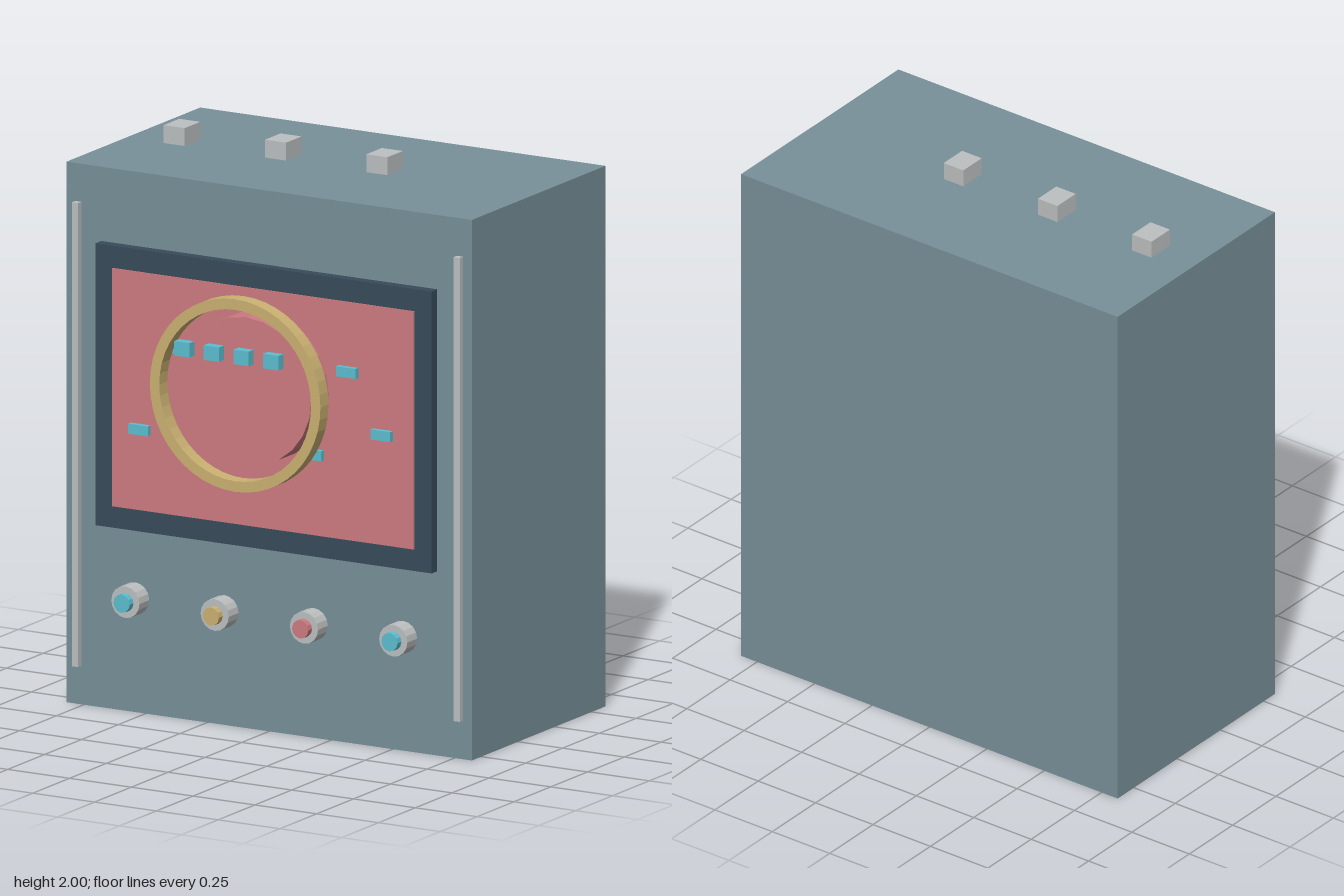
import * as THREE from 'three';

const mat = (name, color) => {
  const m = new THREE.MeshStandardMaterial({ color });
  m.name = name;
  return m;
};

export function createModel() {
  const group = new THREE.Group();
  const slate = mat('slate', 0x78909a);
  const navy = mat('navy', 0x384b5a);
  const red = mat('rose', 0xcd7b81);
  const gold = mat('gold', 0xcbb272);
  const cyan = mat('cyan', 0x5cbfd0);
  const grey = mat('grey', 0xbdc0c0);

  const add = (name, geometry, material, x, y, z) => {
    const mesh = new THREE.Mesh(geometry, material);
    mesh.name = name;
    mesh.position.set(x, y, z);
    group.add(mesh);
  };
  // Box given by its centre in x and y, and its back and front in z
  const box = (name, material, x, y, w, h, z0, z1) =>
    add(name, new THREE.BoxGeometry(w, h, z1 - z0), material, x, y, (z0 + z1) / 2);
  // Faceted cylinder whose axis points forward
  const disc = (name, material, x, y, r, z0, z1, sides) => {
    const g = new THREE.CylinderGeometry(r, r, z1 - z0, sides).rotateX(Math.PI / 2).toNonIndexed();
    g.computeVertexNormals();
    add(name, g, material, x, y, (z0 + z1) / 2);
  };

  const front = 0.314;

  // Cabinet, side rails and top studs
  box('cabinet', slate, 0, 0.968, 1.64, 1.936, -0.594, front);
  for (const s of [-1, 1]) box('sideRail', grey, s * 0.772, 0.969, 0.025, 1.662, front, 0.336);
  for (const x of [-0.625, -0.215, 0.195]) box('topStud', grey, x, 1.968, 0.085, 0.064, -0.196, -0.09);

  // Framed screen
  box('screenFrame', navy, 0, 1.165, 1.36, 1.01, front, 0.352);
  box('screen', red, 0, 1.164, 1.22, 0.853, 0.352, 0.356);

  // Chips staggered over the screen
  for (let i = 0; i < 8; i++) {
    box('screenChip', cyan, -0.494 + i * 0.14, 1.029 + ((i * 3) % 5) * 0.1043, 0.08, 0.036, 0.352, 0.375);
  }

  // Drum and the flat ring floating before it
  disc('drum', red, 0, 1.252, 0.265, 0.354, 0.472, 24);
  const ring = new THREE.Shape().absarc(0, 0, 0.345, 0, Math.PI * 2);
  ring.holes.push(new THREE.Path().absarc(0, 0, 0.307, 0, Math.PI * 2, true));
  add('ring', new THREE.ExtrudeGeometry(ring, { depth: 0.055, bevelEnabled: false, curveSegments: 24 }),
    gold, 0, 1.252, 0.49);

  // Row of small blocks in front of the ring
  for (let i = 0; i < 4; i++) box('frontBlock', cyan, -0.187 + i * 0.12, 1.404, 0.062, 0.052, 0.56, 0.594);

  // Control knobs with coloured caps
  [cyan, gold, red, cyan].forEach((cap, i) => {
    const x = -0.542 + i * 0.3613;
    disc('knob', grey, x, 0.408, 0.057, front, 0.381, 16);
    disc('knobCap', cap, x, 0.408, 0.033, 0.381, 0.407, 12);
  });

  return group;
}
